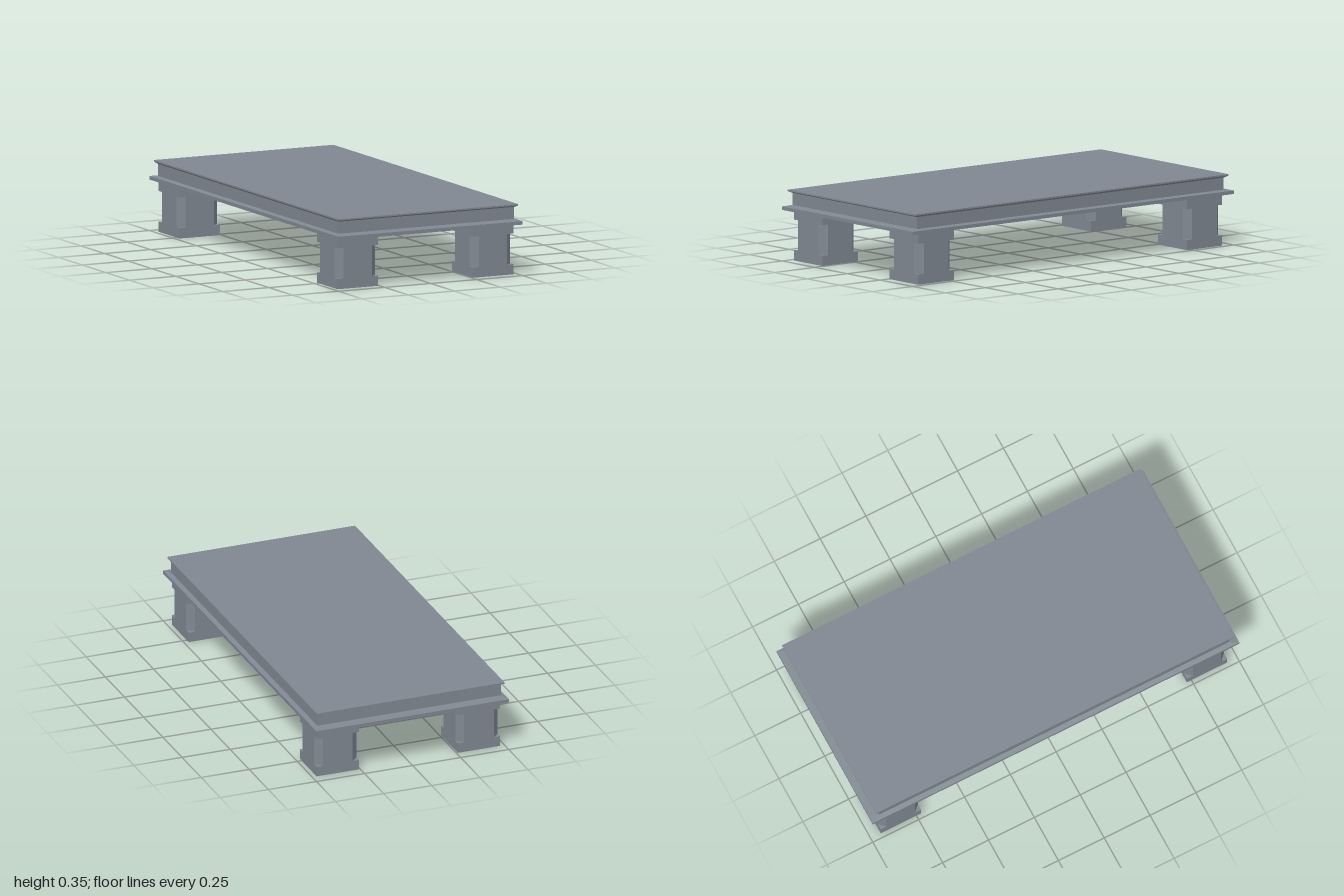
import * as THREE from 'three';

// Closed flat-faced solid lofted through rings of [x, y, z] points, bottom to top
function loft(rings) {
  const pos = [];
  const a = new THREE.Vector3(), b = new THREE.Vector3(), c = new THREE.Vector3();
  const tri = (p, q, r) => {
    a.set(...p); b.set(...q).sub(a); c.set(...r).sub(a);
    if (b.cross(c).length() > 1e-9) pos.push(...p, ...q, ...r);
  };
  const n = rings[0].length;
  for (let k = 0; k < rings.length - 1; k++) {
    const lo = rings[k], hi = rings[k + 1];
    for (let i = 0; i < n; i++) {
      const j = (i + 1) % n;
      tri(lo[i], hi[i], hi[j]);
      tri(lo[i], hi[j], lo[j]);
    }
  }
  const bottom = rings[0], top = rings[rings.length - 1];
  for (let i = 1; i < n - 1; i++) {
    tri(bottom[0], bottom[i], bottom[i + 1]);
    tri(top[0], top[i + 1], top[i]);
  }
  const geo = new THREE.BufferGeometry();
  geo.setAttribute('position', new THREE.Float32BufferAttribute(pos, 3));
  geo.computeVertexNormals();
  return geo;
}

// Rectangle ring with half sizes w, d and corners cut by c
function ring(w, d, y, c = 0) {
  return [
    [w, d - c], [w - c, d], [-w + c, d], [-w, d - c],
    [-w, -d + c], [-w + c, -d], [w - c, -d], [w, -d + c],
  ].map(([x, z]) => [x, y, z]);
}

export function createModel() {
  const model = new THREE.Group();
  model.name = 'lowTable';
  const slate = new THREE.MeshStandardMaterial({ color: 0x7f8790 });
  slate.name = 'slateGrey';

  // Top: lower ledge, recessed band and flared upper lip, as [half width, y]
  const profile = [
    [0.5, 0.25], [0.5, 0.267], [0.477, 0.273],
    [0.477, 0.332], [0.488, 0.341], [0.488, 0.348],
  ];
  const top = new THREE.Mesh(loft(profile.map(([w, y]) => ring(w, w * 2, y))), slate);
  top.name = 'tableTop';
  model.add(top);

  // Legs: square blocks with notched chamfers on the corners
  const h = 0.11, cut = 0.033;
  const legGeo = loft([
    ring(h, h, 0), ring(h, h, 0.05), ring(h, h, 0.05, cut),
    ring(h, h, 0.2, cut), ring(h, h, 0.2), ring(h, h, 0.25),
  ]);
  for (const sx of [-1, 1]) {
    for (const sz of [-1, 1]) {
      const leg = new THREE.Mesh(legGeo, slate);
      leg.name = (sz > 0 ? 'front' : 'back') + (sx > 0 ? 'Left' : 'Right') + 'Leg';
      leg.position.set(sx * 0.367, 0, sz * 0.835);
      model.add(leg);
    }
  }
  return model;
}
